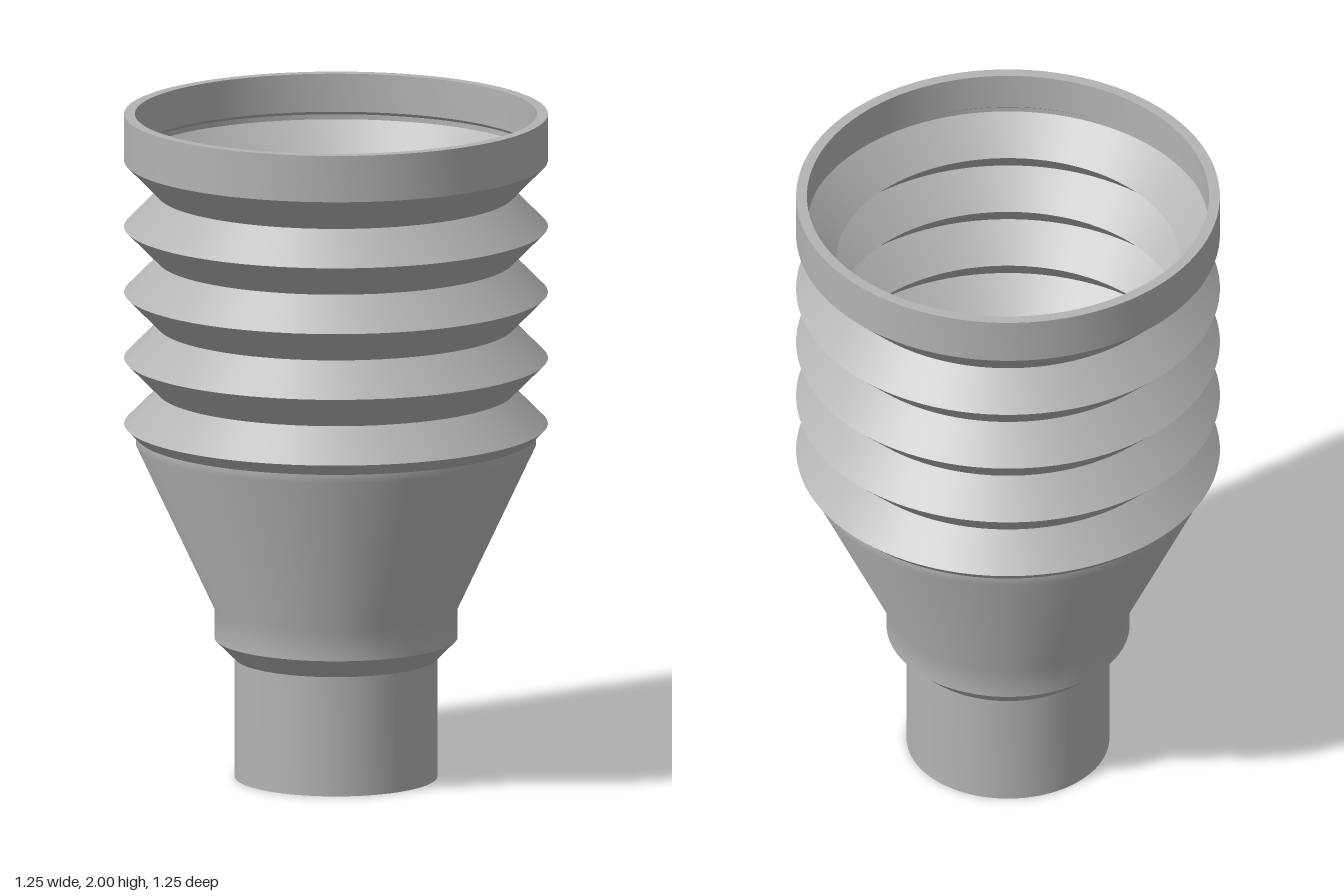
import * as THREE from 'three';
import { toCreasedNormals } from 'three/addons/utils/BufferGeometryUtils.js';

const SEGMENTS = 96;

export function createModel() {
  const group = new THREE.Group();
  const grey = new THREE.MeshStandardMaterial({ color: 0xb4b4b4 });
  grey.name = 'grey';

  // Profiles run upwards on the outside and downwards on the inside.
  function addShell(name, profile) {
    const points = profile.map(([r, y]) => new THREE.Vector2(r, y));
    const geometry = toCreasedNormals(new THREE.LatheGeometry(points, SEGMENTS), 0.6);
    const mesh = new THREE.Mesh(geometry, grey);
    mesh.name = name;
    group.add(mesh);
  }

  // Spout: inner bore, bottom rim, outer wall
  addShell('spout', [[0.267, 0.385], [0.267, 0], [0.3, 0], [0.3, 0.36]]);

  // Funnel with a chamfered shoulder at its foot
  addShell('funnelOutside', [[0.3, 0.36], [0.36, 0.42], [0.36, 0.51], [0.592, 1.005], [0.592, 1.03]]);
  addShell('funnelInside', [[0.56, 1.03], [0.56, 1.0], [0.267, 0.385]]);

  // Bellows: four ridges and valleys between the funnel and the collar
  const outside = [[0.592, 1.03]];
  const inside = [[0.56, 1.03]];
  for (let i = 0; i < 4; i++) {
    const y = 1.065 + i * 0.1985;
    outside.push([0.627, y], [0.529, y + 0.0993]);
    inside.push([0.607, y], [0.51, y + 0.0993]);
  }
  outside.push([0.627, 1.86]);
  inside.push([0.607, 1.86]);
  addShell('bellowsOutside', outside);
  addShell('bellowsInside', inside.reverse());

  // Collar with a shallow groove under its inner lip
  addShell('collar', [[0.627, 1.86], [0.627, 2], [0.595, 2], [0.595, 1.885], [0.607, 1.875], [0.607, 1.86]]);

  return group;
}
